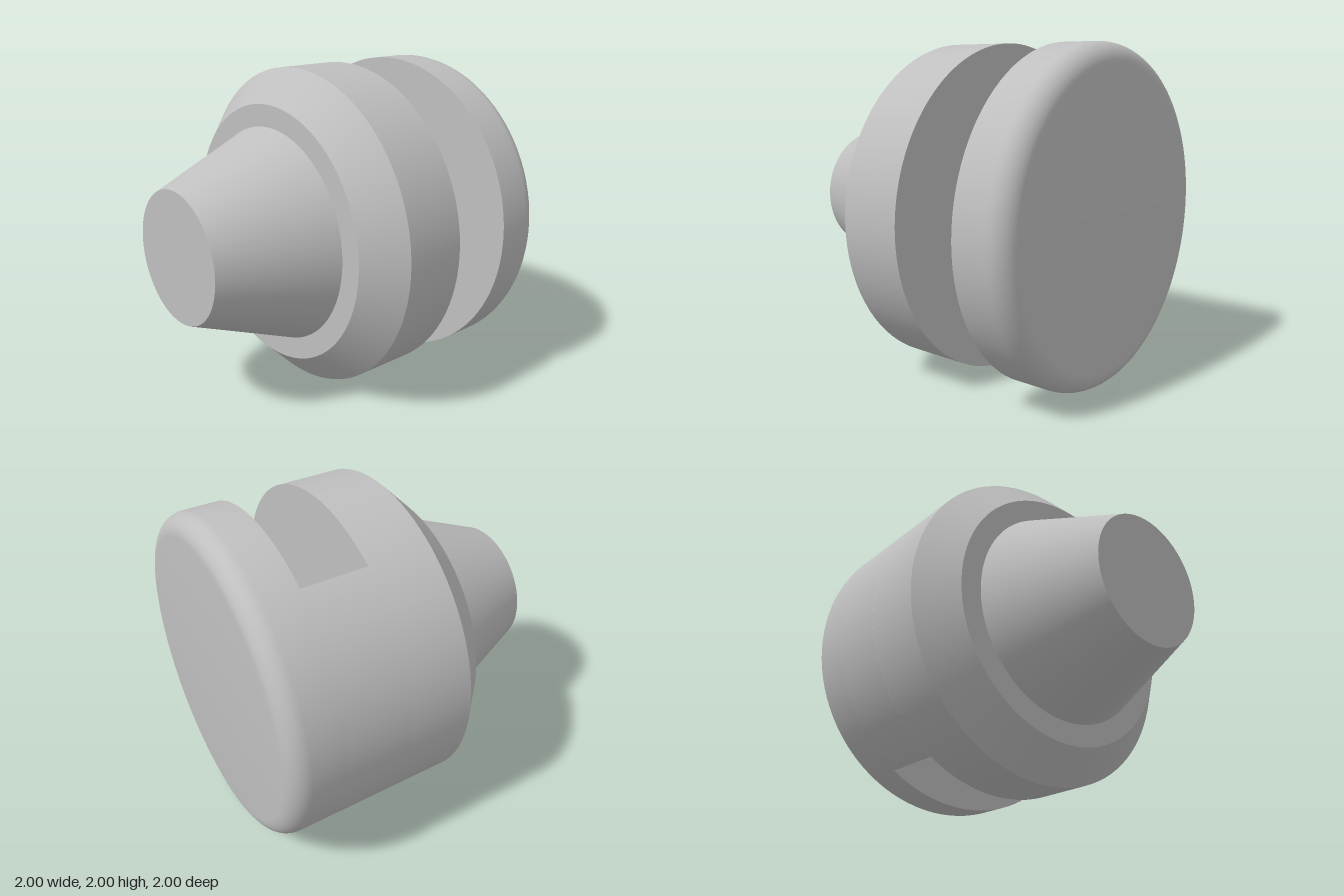
import * as THREE from 'three';
import { toCreasedNormals } from 'three/addons/utils/BufferGeometryUtils.js';

const SEGMENTS = 96;
const SLOT_FRONT = -0.265, SLOT_BACK = -0.665; // slot walls along z
const SLOT_DEPTH_X = -0.54;                    // flat floor of the slot
const SLOT_ANGLE = Math.acos(SLOT_DEPTH_X);    // where the floor meets the rim

export function createModel() {
  const grey = new THREE.MeshStandardMaterial({ color: 0xbfbfbf });
  grey.name = 'plain grey';
  const model = new THREE.Group();
  model.name = 'slottedKnob';

  const add = (name, geometry) => {
    const mesh = new THREE.Mesh(geometry, grey);
    mesh.name = name;
    mesh.position.y = 1;
    model.add(mesh);
    return mesh;
  };

  // Turned part about the z axis from [radius, z] points, listed back to front
  const turned = (points, start = 0, length = Math.PI * 2) => {
    const profile = points.map(([r, z]) => new THREE.Vector2(r, z));
    const lathe = new THREE.LatheGeometry(profile, SEGMENTS, start, length);
    return toCreasedNormals(lathe.rotateX(Math.PI / 2), 0.5);
  };

  // Back disc with a rounded rear rim
  const fillet = 0.12;
  const rim = [];
  for (let i = 0; i <= 10; i++) {
    const a = (i / 10) * Math.PI / 2;
    rim.push([1 - fillet + fillet * Math.sin(a), -1 + fillet - fillet * Math.cos(a)]);
  }
  add('backDisc', turned([[0, -1], ...rim, [1, SLOT_BACK]]));

  // Front collar with a chamfered edge, and the tapered nose
  add('frontCollar', turned([[1, SLOT_FRONT], [1, 0.133], [0.8, 0.333], [0.665, 0.333]]));
  add('nose', turned([[0.665, 0.333], [0.4, 1], [0, 1]]));

  // Rim bridging the two discs on the closed side of the slot
  add('bridgeRim', turned([[1, SLOT_BACK], [1, SLOT_FRONT]],
    SLOT_ANGLE + Math.PI / 2, 2 * (Math.PI - SLOT_ANGLE)));

  // Facing walls of the slot
  const segment = new THREE.Shape();
  segment.absarc(0, 0, 1, -SLOT_ANGLE, SLOT_ANGLE, false);
  const slotWall = new THREE.ShapeGeometry(segment, SEGMENTS);
  add('slotBackWall', slotWall).position.z = SLOT_BACK;
  add('slotFrontWall', slotWall.clone().rotateX(Math.PI)).position.z = SLOT_FRONT;

  // Flat floor of the slot
  const floor = new THREE.PlaneGeometry(SLOT_FRONT - SLOT_BACK, 2 * Math.sin(SLOT_ANGLE));
  add('slotFloor', floor.rotateY(Math.PI / 2))
    .position.set(SLOT_DEPTH_X, 1, (SLOT_FRONT + SLOT_BACK) / 2);

  return model;
}
